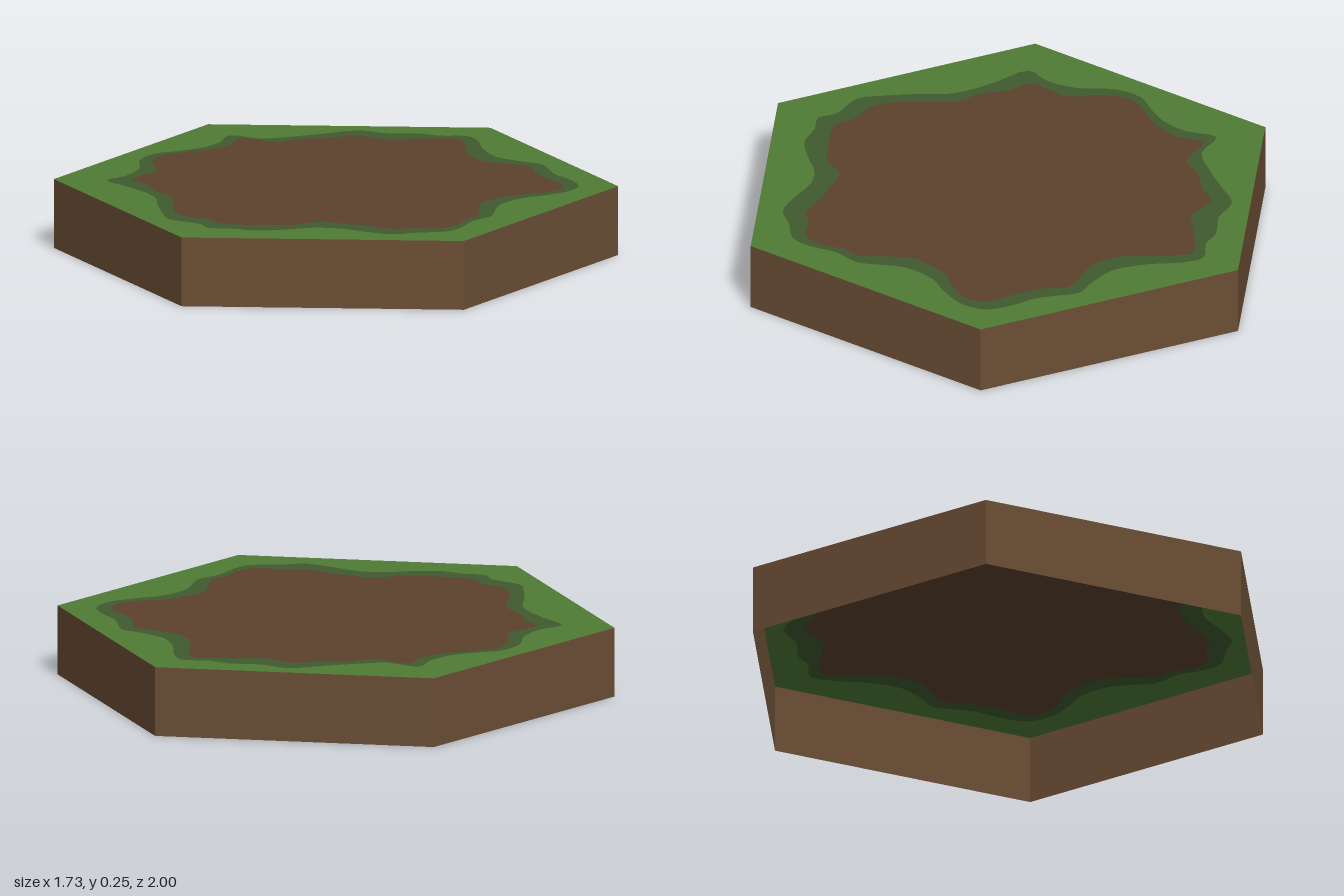
import * as THREE from 'three';

const HEIGHT = 0.25;

// Wavy outlines as x, z pairs, running round the tile from the back
const BORDER_OUTER = [
  0, -.85, .07, -.81, .15, -.72, .26, -.64, .38, -.63, .455, -.635, .52, -.58, .58, -.53, .67, -.49,
  .745, -.43, .76, -.34, .72, -.23, .68, -.16, .67, -.03, .72, .08, .74, .13, .725, .23, .745, .33,
  .735, .41, .66, .48, .6, .55, .51, .57, .39, .58, .31, .62, .24, .7, .16, .77, .07, .79,
  0, .825, -.06, .79, -.19, .79, -.26, .725, -.35, .62, -.4, .55, -.47, .5, -.58, .455, -.7, .41,
  -.68, .32, -.7, .2, -.77, .09, -.78, -.02, -.735, -.095, -.69, -.185, -.68, -.29, -.71, -.4,
  -.59, -.42, -.51, -.51, -.44, -.61, -.37, -.71, -.26, -.73, -.16, -.79, -.085, -.8,
];
const BORDER_INNER = [
  0, -.8, .06, -.74, .12, -.66, .175, -.6, .27, -.56, .35, -.57, .445, -.58, .51, -.51, .6, -.455,
  .69, -.41, .72, -.34, .69, -.26, .625, -.175, .61, -.11, .6, -.02, .655, .08, .7, .16, .69, .22,
  .71, .29, .695, .38, .61, .43, .56, .48, .455, .49, .375, .51, .275, .535, .23, .62, .14, .68,
  .065, .725, 0, .745, -.075, .715, -.165, .72, -.245, .67, -.31, .58, -.38, .49, -.47, .455,
  -.55, .385, -.63, .355, -.635, .28, -.63, .195, -.71, .105, -.745, 0, -.705, -.09, -.65, -.185,
  -.63, -.29, -.655, -.385, -.51, -.41, -.47, -.49, -.39, -.565, -.34, -.64, -.215, -.645, -.1, -.74,
];

// Smooth closed outline in shape space (shape y is -z)
function outline(flat) {
  const points = [];
  for (let i = 0; i < flat.length; i += 2) points.push(new THREE.Vector3(flat[i], -flat[i + 1], 0));
  return new THREE.CatmullRomCurve3(points, true).getPoints(points.length * 3)
    .slice(0, -1).map((p) => new THREE.Vector2(p.x, p.y));
}

function material(color) {
  return new THREE.MeshStandardMaterial({ color, side: THREE.DoubleSide, flatShading: true });
}

// Flat piece of the top surface, with an optional hole
function topPiece(name, edge, hole, color) {
  const shape = new THREE.Shape(edge);
  if (hole) shape.holes.push(new THREE.Path(hole));
  const mesh = new THREE.Mesh(new THREE.ShapeGeometry(shape).rotateX(-Math.PI / 2), material(color));
  mesh.name = name;
  mesh.position.y = HEIGHT;
  return mesh;
}

export function createModel() {
  const group = new THREE.Group();
  group.name = 'hexagonalGroundTile';

  // Six side walls, open underneath
  const walls = new THREE.Mesh(new THREE.CylinderGeometry(1, 1, HEIGHT, 6, 1, true), material(0x6b4e35));
  walls.name = 'earthWalls';
  walls.position.y = HEIGHT / 2;
  group.add(walls);

  // Top surface: grass rim, dark border and bare earth fitted into each other
  const hexagon = [];
  for (let i = 0; i < 6; i++) {
    const a = (i * Math.PI) / 3;
    hexagon.push(new THREE.Vector2(-Math.sin(a), Math.cos(a)));
  }
  const outer = outline(BORDER_OUTER);
  const inner = outline(BORDER_INNER);
  group.add(
    topPiece('grassRim', hexagon, outer, 0x4f7a35),
    topPiece('darkGrassBorder', outer, inner, 0x3f5a2e),
    topPiece('earthCentre', inner, null, 0x5c412c),
  );
  return group;
}
